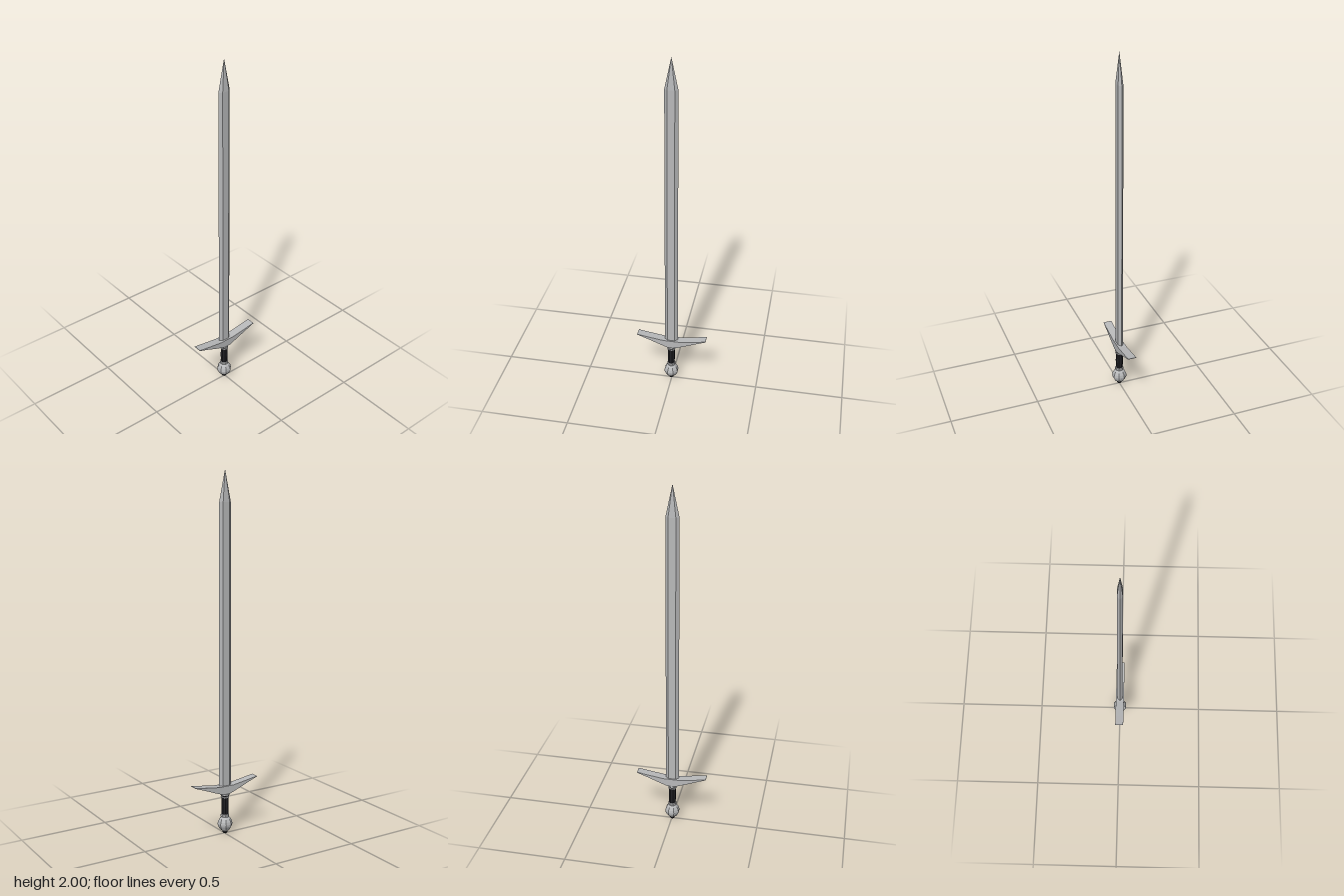
import * as THREE from 'three';

export function createModel() {
  const steel = new THREE.MeshStandardMaterial({ color: 0xb8b9ba, flatShading: true });
  steel.name = 'steel';
  const leather = new THREE.MeshStandardMaterial({ color: 0x1e1e22, flatShading: true });
  leather.name = 'black leather';

  const sword = new THREE.Group();
  sword.name = 'sword';
  const cx = -0.003, cz = -0.001; // axis of blade and hilt

  function add(name, geometry, material, x = cx, z = cz) {
    const mesh = new THREE.Mesh(geometry, material);
    mesh.name = name;
    mesh.position.set(x, 0, z);
    sword.add(mesh);
    return mesh;
  }

  // Eight-sided turned part from [radius, height] pairs, bottom to top
  function turned(name, profile, material) {
    const points = profile.map(([r, y]) => new THREE.Vector2(r, y));
    return add(name, new THREE.LatheGeometry(points, 8, Math.PI / 8), material);
  }

  // Blade: hexagonal sections [y, half width, half flat, half thickness] closing to a point
  const sections = [
    [0.25, 0.038, 0.021, 0.015],
    [1.83, 0.036, 0.02, 0.014],
    [2.0, 0, 0, 0],
  ];
  const rings = sections.map(([y, w, f, t]) => [
    [w, y, 0], [f, y, -t], [-f, y, -t], [-w, y, 0], [-f, y, t], [f, y, t],
  ]);
  const positions = [];
  for (let s = 0; s < 2; s++) {
    for (let i = 0; i < 6; i++) {
      const j = (i + 1) % 6;
      const [a, b, c, d] = [rings[s][i], rings[s][j], rings[s + 1][j], rings[s + 1][i]];
      positions.push(...a, ...b, ...c);
      if (s === 0) positions.push(...a, ...c, ...d);
    }
  }
  const bladeGeometry = new THREE.BufferGeometry();
  bladeGeometry.setAttribute('position', new THREE.Float32BufferAttribute(positions, 3));
  bladeGeometry.computeVertexNormals();
  add('blade', bladeGeometry, steel);

  // Crossguard: swept-up arms, mirrored, thinning to the tips
  const bottom = [[0.024, 0.235], [0.08, 0.256], [0.14, 0.28], [0.2, 0.302]];
  const top = [[0.2, 0.305], [0.17, 0.3], [0.14, 0.295], [0.045, 0.281]];
  const half = [...bottom, ...top];
  const outline = [...half, ...half.map(([x, y]) => [-x, y]).reverse()];
  const guardShape = new THREE.Shape(outline.map(([x, y]) => new THREE.Vector2(x, y)));
  const guardGeometry = new THREE.ExtrudeGeometry(guardShape, { depth: 0.048, bevelEnabled: false });
  guardGeometry.translate(0, 0, -0.024);
  add('crossguard', guardGeometry, steel, 0);

  // Grip with ringed collars at both ends
  turned('grip', [[0.019, 0.1], [0.021, 0.16], [0.019, 0.24]], leather);
  turned('upperCollar', [[0.018, 0.222], [0.026, 0.225], [0.026, 0.233], [0.02, 0.238]], steel);
  turned('upperRing', [[0.018, 0.209], [0.024, 0.211], [0.024, 0.216], [0.018, 0.218]], steel);
  turned('lowerCollar', [[0.018, 0.098], [0.024, 0.1], [0.024, 0.112], [0.018, 0.115]], steel);

  // Pommel: faceted ball with a dark end button
  turned('pommel', [
    [0, 0.01], [0.016, 0.014], [0.031, 0.028], [0.04, 0.045], [0.042, 0.057],
    [0.039, 0.072], [0.031, 0.087], [0.022, 0.097], [0, 0.1],
  ], steel);
  turned('pommelButton', [[0, 0], [0.008, 0], [0.014, 0.006], [0.014, 0.014], [0, 0.016]], leather);

  return sword;
}
